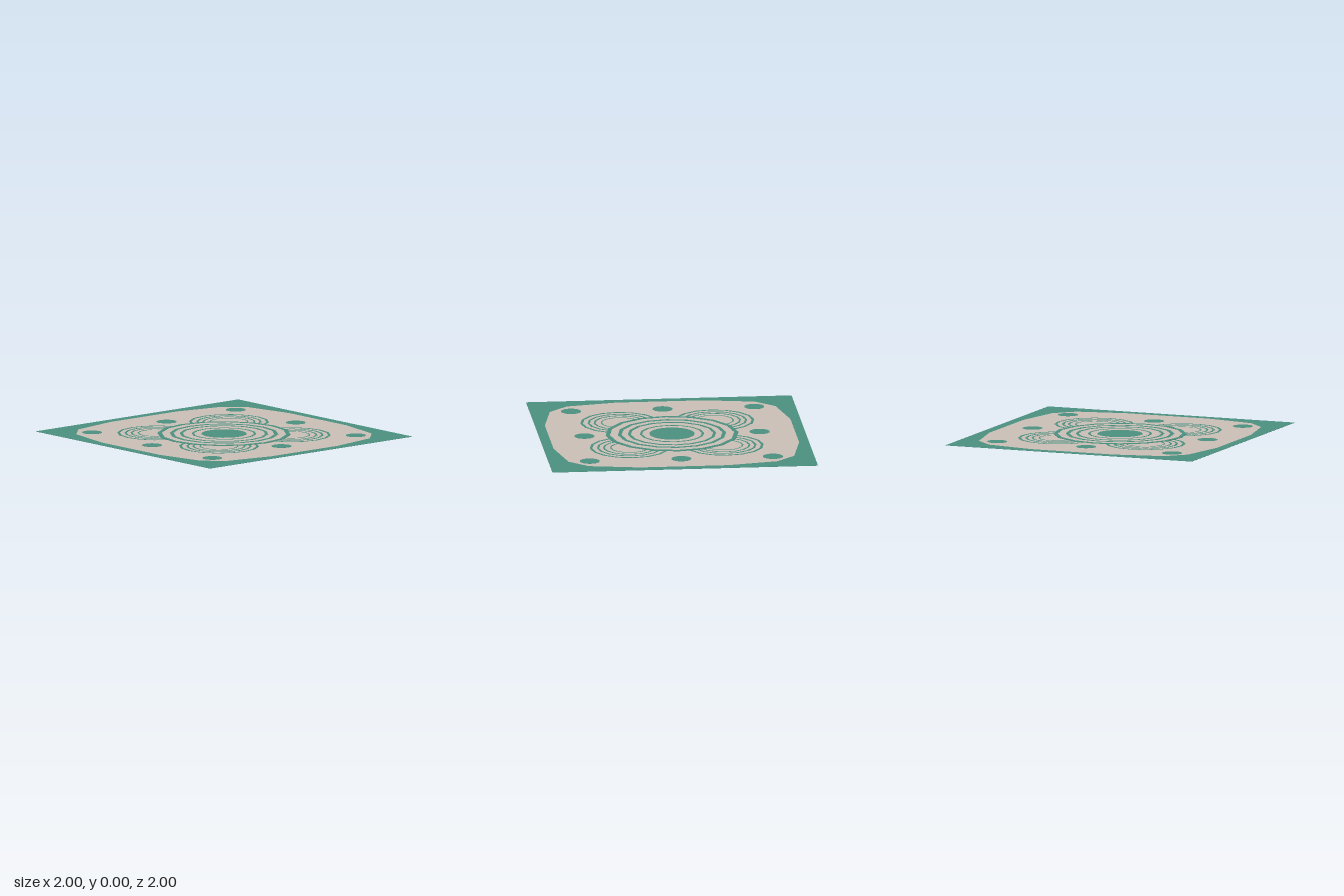
import * as THREE from 'three';

export function createModel() {
  const rug = new THREE.Group();
  rug.name = 'rug';
  const green = new THREE.MeshStandardMaterial({ color: 0x4a9080 });
  green.name = 'green';
  const beige = new THREE.MeshStandardMaterial({ color: 0xc9beb5 });
  beige.name = 'beige';

  const polygon = (r, sides) => Array.from({ length: sides }, (_, i) => {
    const a = (i / sides) * Math.PI * 2;
    return new THREE.Vector2(r * Math.cos(a), r * Math.sin(a));
  });

  // Lays a flat outline (with an optional hole) on the floor plane as a thin plate
  function plate(name, material, outline, hole, bottom, top, x = 0, z = 0, parent = rug) {
    const shape = new THREE.Shape(outline);
    if (hole) shape.holes.push(new THREE.Path(hole));
    const geometry = new THREE.ExtrudeGeometry(shape, { depth: top - bottom, bevelEnabled: false });
    geometry.rotateX(-Math.PI / 2);
    const mesh = new THREE.Mesh(geometry, material);
    mesh.name = name;
    mesh.position.set(x, bottom, z);
    parent.add(mesh);
  }

  // Concentric rings given as [outer radius, inner radius]
  function rings(name, list, bottom, top, x, z) {
    const group = new THREE.Group();
    group.name = name;
    for (const [outer, inner] of list) {
      plate('ring', green, polygon(outer, 16), polygon(inner, 16), bottom, top, x, z, group);
    }
    rug.add(group);
  }

  // Square border around the many-sided inner field
  const square = [[-1, -1], [1, -1], [1, 1], [-1, 1]].map(([x, y]) => new THREE.Vector2(x, y));
  const side = [[0.925, -0.33], [0.925, 0.33], [0.85, 0.71], [0.71, 0.85]];
  const field = [];
  for (let i = 0; i < 4; i++) {
    for (const [x, y] of side) {
      field.push(new THREE.Vector2(x, y).rotateAround(new THREE.Vector2(), i * Math.PI / 2));
    }
  }
  plate('border', green, square, field, 0, 0.002);
  plate('field', beige, field, null, 0, 0.002);

  // Dots around the field
  const dots = [[0, 0.66], [0, -0.66], [0.71, 0], [-0.71, 0]];
  for (const sx of [-1, 1]) for (const sz of [-1, 1]) {
    dots.push([sx * 0.71, sz * 0.69]);
    // Corner medallions, partly covered by the central one
    rings('cornerMedallion', [[0.3, 0.281], [0.246, 0.23], [0.2, 0.186], [0.147, 0.137]],
      0.002, 0.003, sx * 0.355, sz * 0.355);
  }
  for (const [x, z] of dots) plate('dot', green, polygon(0.075, 32), null, 0.002, 0.003, x, z);

  // Central medallion
  plate('medallionGround', beige, polygon(0.49, 16), null, 0.002, 0.004);
  rings('centralMedallion', [[0.5, 0.468], [0.408, 0.38], [0.333, 0.31], [0.242, 0.225]],
    0.002, 0.005, 0, 0);
  plate('centreDisc', green, polygon(0.17, 32), null, 0.004, 0.005);

  return rug;
}
